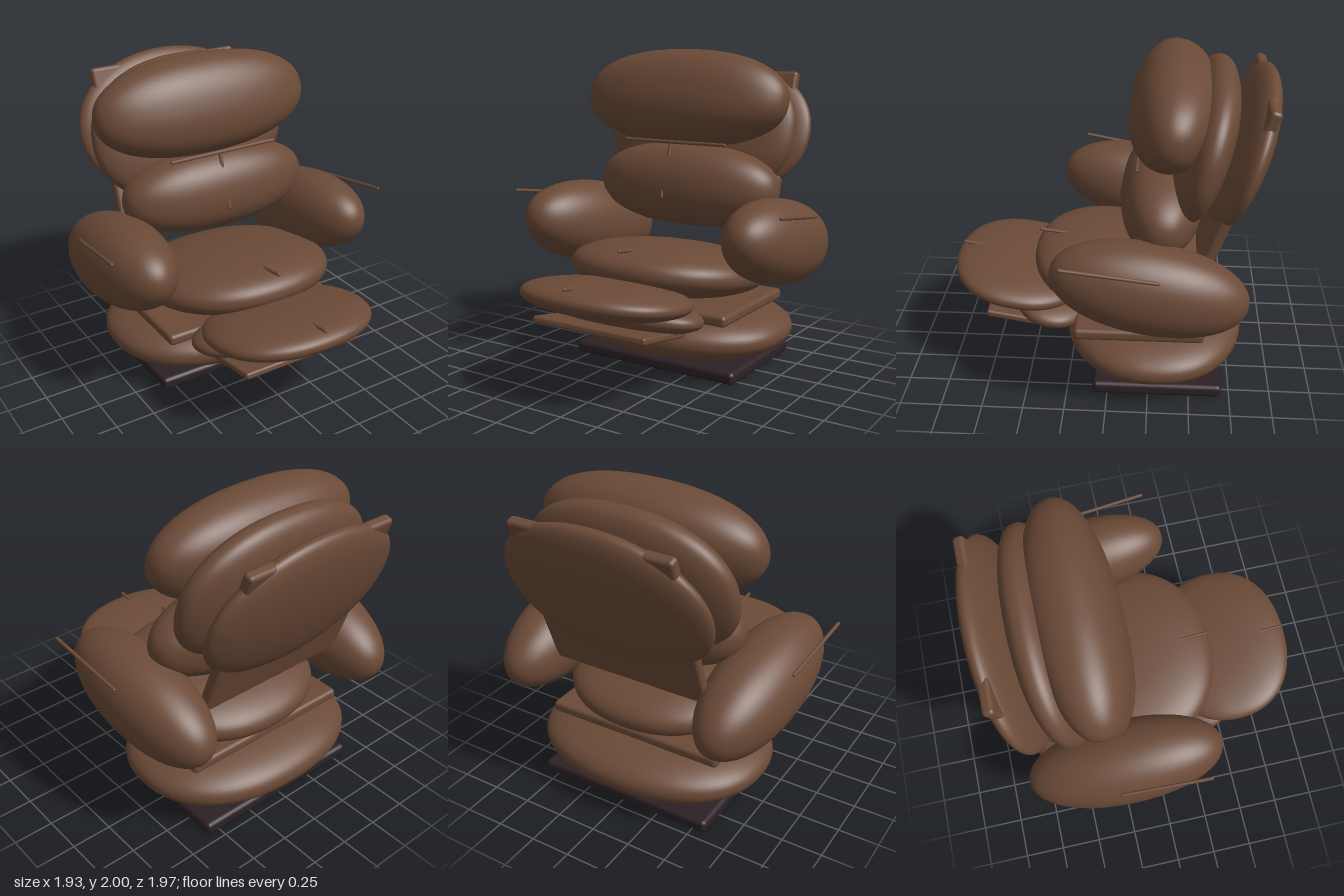
import * as THREE from 'three';
import { RoundedBoxGeometry } from 'three/addons/geometries/RoundedBoxGeometry.js';

const leather = new THREE.MeshStandardMaterial({ name: 'brown leather', color: 0x6b4a37 });
const darkWood = new THREE.MeshStandardMaterial({ name: 'dark base', color: 0x2c2125 });

// Plump pillow: a sphere pushed outward to a slightly boxy superellipsoid.
function pillowGeometry(power) {
  const geo = new THREE.SphereGeometry(1, 64, 40);
  const pos = geo.attributes.position, nor = geo.attributes.normal;
  const n = new THREE.Vector3();
  const bend = (c) => Math.sign(c) * Math.abs(c) ** (power - 1);
  for (let i = 0; i < pos.count; i++) {
    const v = new THREE.Vector3().fromBufferAttribute(pos, i);
    const norm = Math.abs(v.x) ** power + Math.abs(v.y) ** power + Math.abs(v.z) ** power;
    v.multiplyScalar(norm ** (-1 / power));
    n.set(bend(v.x), bend(v.y), bend(v.z)).normalize();
    pos.setXYZ(i, v.x, v.y, v.z);
    nor.setXYZ(i, n.x, n.y, n.z);
  }
  return geo;
}

export function createModel() {
  const chair = new THREE.Group();
  chair.name = 'recliner';

  const place = (name, geo, mat, at, lean = 0, yaw = 0) => {
    const mesh = new THREE.Mesh(geo, mat);
    mesh.name = name;
    mesh.position.set(...at);
    // A positive lean lifts the front and tips the top backwards.
    mesh.rotation.set(THREE.MathUtils.degToRad(-lean), THREE.MathUtils.degToRad(yaw), 0);
    chair.add(mesh);
    return mesh;
  };
  const pillow = (name, at, radii, lean = 0, power = 2.25, yaw = 0) =>
    place(name, pillowGeometry(power), leather, at, lean, yaw).scale.set(...radii);
  const board = (name, at, size, lean = 0, mat = leather) =>
    place(name, new RoundedBoxGeometry(...size, 3, Math.min(...size) * 0.35), mat, at, lean);
  const piping = (name, a, b, radius = 0.011) => {
    const from = new THREE.Vector3(...a), to = new THREE.Vector3(...b);
    const dir = to.clone().sub(from);
    const geo = new THREE.CapsuleGeometry(radius, dir.length() - 2 * radius, 4, 10);
    const mesh = place(name, geo, leather, from.clone().add(to).multiplyScalar(0.5).toArray());
    mesh.quaternion.setFromUnitVectors(new THREE.Vector3(0, 1, 0), dir.normalize());
  };

  // Base
  board('floorPlate', [0, 0.04, -0.305], [1.18, 0.08, 0.79], 0, darkWood);
  pillow('baseCushion', [0, 0.25, -0.275], [0.75, 0.18, 0.56]);
  board('seatFrame', [0, 0.43, -0.19], [1.18, 0.07, 0.78]);

  // Seat
  pillow('seatCushion', [0.025, 0.64, -0.09], [0.61, 0.17, 0.575], 8);
  piping('seatSeam', [0.02, 0.84, 0.46], [0.02, 0.8, 0.16]);

  // Footrest
  pillow('footrestCushion', [0.005, 0.585, 0.57], [0.52, 0.105, 0.425], 9);
  pillow('footrestLowerCushion', [0.005, 0.45, 0.36], [0.51, 0.1, 0.27], 10);
  board('footrestBoard', [0, 0.4, 0.535], [0.8, 0.042, 0.45], 9.5);
  board('footrestBracket', [0, 0.332, 0.36], [0.41, 0.028, 0.31], 9.5);
  piping('footrestSeam', [0, 0.722, 0.96], [0, 0.69, 0.75]);

  // Arms with side piping
  pillow('leftArm', [0.705, 0.852, -0.25], [0.242, 0.265, 0.575], 11, 2.1, 1.5);
  pillow('rightArm', [-0.69, 0.838, -0.235], [0.257, 0.275, 0.61], 11, 2.1, -2.5);
  piping('leftArmPiping', [0.953, 1.1, 0.24], [0.93, 1.02, -0.31]);
  piping('rightArmPiping', [-0.955, 1.09, 0.24], [-0.92, 1.0, -0.31]);

  // Backrest, from lumbar pillow to rear shell
  pillow('lumbarPillow', [0.03, 1.145, -0.31], [0.64, 0.265, 0.25], 8);
  pillow('backCushion', [-0.01, 1.49, -0.54], [0.68, 0.465, 0.16], 16);
  pillow('headPillow', [-0.025, 1.695, -0.355], [0.725, 0.31, 0.245], 18);
  pillow('rearPad', [0, 1.46, -0.775], [0.67, 0.475, 0.12], 20, 2.1);
  board('rearPanel', [0, 1.34, -0.73], [1.05, 1.08, 0.07], 19.5);

  // Backrest piping
  piping('crossSeam', [-0.36, 1.428, -0.16], [0.39, 1.428, -0.16]);
  piping('centreSeam', [-0.01, 1.43, -0.17], [-0.01, 1.08, -0.05]);

  return chair;
}
